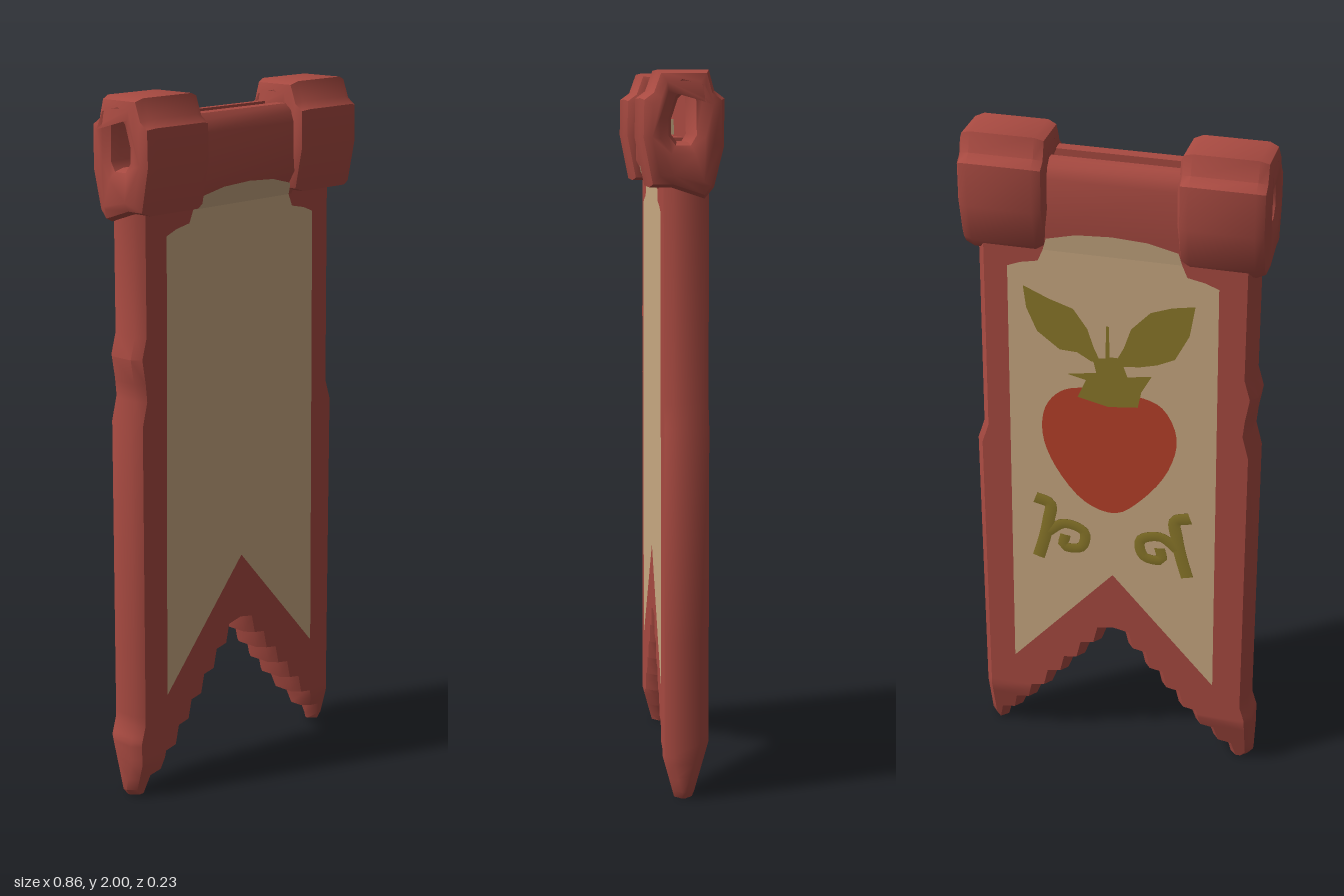
import * as THREE from 'three';
import { toCreasedNormals } from 'three/addons/utils/BufferGeometryUtils.js';

const FRONT = 0.047, BACK = -0.075;
const mat = (name, color) => {
  const m = new THREE.MeshStandardMaterial({ color });
  m.name = name;
  return m;
};

// piecewise linear lookup in [y, value] pairs
function lookup(table, y) {
  for (let i = 1; i < table.length; i++) {
    const [y0, v0] = table[i - 1], [y1, v1] = table[i];
    if (y <= y1) return v0 + (v1 - v0) * Math.max(0, y - y0) / (y1 - y0);
  }
  return table[table.length - 1][1];
}

const pts = (list) => list.map(([x, y]) => new THREE.Vector2(x, y));

// half of the cloth: rounded cross-sections stacked from the tail tip upwards
function halfCloth(side, outerEdge) {
  const innerEdge = [];
  for (let k = 0; k < 7; k++) { // stepped notch
    const x = 0.36 - 0.053 * k, y = 0.0635 * k;
    innerEdge.push([y, x], [y + 0.056, x - 0.013]);
  }
  innerEdge.push([0.447, 0], [1.76, 0]);
  const front = [[0, 0.02], [0.1, FRONT], [2, FRONT]];
  const back = [[0, -0.03], [0.16, BACK], [2, BACK]];
  const ys = [...new Set([...innerEdge, ...outerEdge, [0.1], [0.16]].map((p) => p[0]))].sort((a, b) => a - b);
  const pos = [], index = [];
  for (const y of ys) {
    const a = lookup(innerEdge, y), o = lookup(outerEdge, y);
    const f = lookup(front, y), k = lookup(back, y);
    const b = 0.02, bz = Math.min(0.025, 0.4 * (f - k));
    const ib = a > 0 ? b : 0, iz = a > 0 ? bz : 0;
    const ring = [[a, f - iz], [a + ib, f], [o - b, f], [o, f - bz], [o, k + bz], [o - b, k], [a + ib, k], [a, k + iz]];
    for (const [x, z] of ring) pos.push(side * x, y, z);
  }
  const tri = (a, b, c) => (side > 0 ? index.push(a, b, c) : index.push(a, c, b));
  for (let i = 0; i < ys.length - 1; i++) {
    for (let j = 0; j < 8; j++) {
      const a = i * 8 + j, b = i * 8 + (j + 1) % 8;
      tri(a, b, b + 8);
      tri(a, b + 8, a + 8);
    }
  }
  for (let j = 1; j < 7; j++) tri(0, j + 1, j); // tail tip
  const g = new THREE.BufferGeometry();
  g.setAttribute('position', new THREE.Float32BufferAttribute(pos, 3));
  g.setIndex(index);
  return toCreasedNormals(g, 0.75);
}

// extrude a (z, y) profile along x between x0 and x1
function extrudeX(profile, x0, x1, bevel = 0, hole = null) {
  const flip = (list) => pts(list.map(([z, y]) => [-z, y]));
  const shape = new THREE.Shape(flip(profile));
  if (hole) shape.holes.push(new THREE.Path(flip(hole)));
  const g = new THREE.ExtrudeGeometry(shape, {
    depth: x1 - x0 - 2 * bevel, bevelEnabled: bevel > 0, bevelThickness: bevel,
    bevelSize: bevel * 0.9, bevelOffset: -bevel * 0.9, bevelSegments: 2,
  });
  g.rotateY(Math.PI / 2).translate(x0 + bevel, 0, 0);
  return toCreasedNormals(g, 0.7);
}

export function createModel() {
  const root = new THREE.Group();
  const red = mat('redCloth', 0xa84a41);
  const tan = mat('tanField', 0xc9a982);
  const berryRed = mat('berryRed', 0xb8412a);
  const green = mat('leafGreen', 0x8b782a);
  const add = (name, geo, material, parent = root) => {
    const m = new THREE.Mesh(geo, material);
    m.name = name;
    parent.add(m);
    return m;
  };

  // hanging cloth with a swallowtail
  add('clothLeft', halfCloth(1, [[0, 0.4], [0.02, 0.41], [1.04, 0.41], [1.1, 0.39], [1.76, 0.385]]), red);
  add('clothRight', halfCloth(-1, [[0, 0.415], [0.02, 0.43], [0.17, 0.43], [0.22, 0.415], [1.1, 0.413],
    [1.17, 0.395], [1.22, 0.4], [1.29, 0.412], [1.35, 0.395], [1.76, 0.395]]), red);

  // rolled sleeve between the loops, open along its top
  add('sleeve', extrudeX([[FRONT, 1.68], [0.08, 1.75], [0.08, 1.89], [0.07, 1.92], [0.05, 1.94], [0.015, 1.94],
    [0.015, 1.82], [-0.03, 1.82], [-0.03, 1.94], [-0.05, 1.94], [-0.07, 1.92], [-0.08, 1.89],
    [-0.08, 1.75], [BACK, 1.68]], -0.21, 0.21), red);

  // thick end loops with a tapered opening
  const loop = [[0.065, 2], [0.085, 1.945], [0.112, 1.925], [0.114, 1.82], [0.088, 1.69], [0.03, 1.69],
    [-0.06, 1.66], [-0.085, 1.69], [-0.112, 1.8], [-0.112, 1.925], [-0.085, 1.945], [-0.07, 2]];
  const opening = [[-0.005, 1.94], [-0.025, 1.935], [-0.027, 1.83], [-0.015, 1.81], [0.015, 1.81],
    [0.03, 1.83], [0.03, 1.87], [0.012, 1.925]];
  const lining = [[0.031, 1.83], [0.031, 1.87], [0.024, 1.87], [0.022, 1.83]];
  for (const [name, x0, x1] of [['loopLeft', 0.18, 0.43], ['loopRight', -0.43, -0.18]]) {
    add(name, extrudeX(loop, x0, x1, 0.035, opening), red);
    add(name + 'Lining', extrudeX(lining, x0 + 0.03, x1 - 0.03), tan);
  }

  // tan field on both faces; the upper piece follows the swell of the sleeve
  const field = pts([[-0.31, 0.29], [0, 0.64], [0.31, 0.29], [0.298, 1.62], [0.26, 1.635], [0.21, 1.645],
    [0.195, 1.68], [-0.195, 1.68], [-0.21, 1.645], [-0.26, 1.635], [-0.298, 1.62]]);
  const fieldTop = pts([[-0.195, 1.68], [0.195, 1.68], [0.185, 1.715], [0.1, 1.736], [0, 1.742],
    [-0.1, 1.736], [-0.185, 1.715]]);
  const faces = { front: new THREE.Group(), back: new THREE.Group() };
  faces.front.position.z = FRONT;
  faces.back.position.z = BACK;
  faces.back.rotation.y = Math.PI;
  for (const [name, slope] of [['front', 0.033 / 0.07], ['back', 0.005 / 0.07]]) {
    const face = faces[name];
    face.name = name + 'Face';
    root.add(face);
    add('field', new THREE.ShapeGeometry(new THREE.Shape(field)).translate(0, 0, 0.003), tan, face);
    const top = new THREE.ShapeGeometry(new THREE.Shape(fieldTop));
    const p = top.attributes.position;
    for (let i = 0; i < p.count; i++) p.setZ(i, 0.003 + (p.getY(i) - 1.68) * slope);
    top.computeVertexNormals();
    add('fieldTop', top, tan, face);
  }

  // painted berry emblem on the back
  const emblem = faces.back;
  const smooth = (list) => {
    const c = new THREE.CatmullRomCurve3(list.map(([x, y]) => new THREE.Vector3(x, y, 0)), true);
    return c.getPoints(48).slice(0, -1).map((v) => [v.x, v.y]);
  };
  const plate = (name, list, z, material) =>
    add(name, new THREE.ShapeGeometry(new THREE.Shape(pts(list))).translate(0, 0, z), material, emblem);
  plate('berry', smooth([[-0.206, 1.1], [-0.195, 1.19], [-0.15, 1.245], [-0.09, 1.265], [0.07, 1.26], [0.145, 1.232],
    [0.188, 1.14], [0.165, 1.03], [0.09, 0.922], [0.01, 0.861], [-0.08, 0.885], [-0.17, 0.995]]), 0.005, berryRed);
  plate('calyx', [[-0.13, 1.305], [-0.075, 1.293], [-0.1, 1.235], [-0.01, 1.215], [0.075, 1.225], [0.085, 1.275],
    [0.115, 1.33], [0.045, 1.318], [0.025, 1.375], [-0.006, 1.375], [-0.008, 1.47], [-0.016, 1.47],
    [-0.018, 1.37], [-0.055, 1.365], [-0.045, 1.32]], 0.007, green);
  plate('leafOne', [[-0.253, 1.567], [-0.18, 1.535], [-0.11, 1.512], [-0.07, 1.455], [-0.052, 1.4], [-0.03, 1.35],
    [-0.06, 1.355], [-0.1, 1.378], [-0.15, 1.38], [-0.215, 1.43], [-0.245, 1.5]], 0.007, green);
  plate('leafTwo', [[0.235, 1.562], [0.17, 1.55], [0.11, 1.528], [0.055, 1.47], [0.035, 1.41], [0.005, 1.35],
    [0.035, 1.35], [0.08, 1.355], [0.13, 1.368], [0.18, 1.392], [0.22, 1.47]], 0.007, green);

  // flattened curling vines, mirrored
  const stem = [[-0.232, 0.878], [-0.188, 0.862], [-0.193, 0.807], [-0.206, 0.743], [-0.226, 0.672]];
  const curl = [[-0.2, 0.76], [-0.145, 0.8], [-0.085, 0.78], [-0.095, 0.725], [-0.148, 0.722], [-0.142, 0.762]];
  for (const side of [1, -1]) {
    for (const [name, path, r] of [['vineStem', stem, 0.021], ['vineCurl', curl, 0.018]]) {
      const c = new THREE.CatmullRomCurve3(path.map(([x, y]) => new THREE.Vector3(side * x, y, 0)));
      add(name, new THREE.TubeGeometry(c, 24, r, 6).scale(1, 1, 0.1).translate(0, 0, 0.005), green, emblem);
    }
  }
  return root;
}
